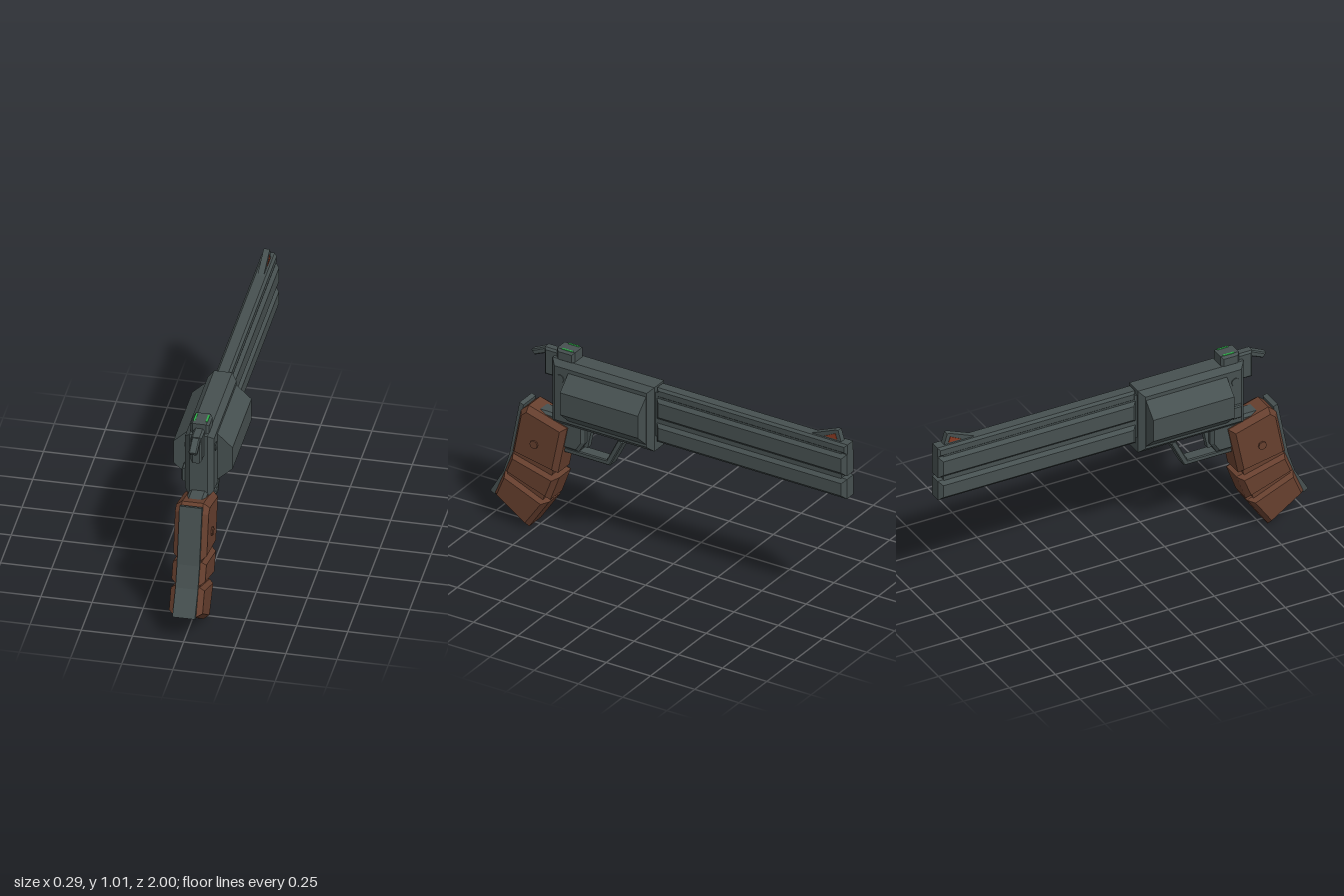
import * as THREE from 'three';

const paint = (name, color) => {
  const m = new THREE.MeshStandardMaterial({ color });
  m.name = name;
  return m;
};

export function createModel() {
  const group = new THREE.Group();
  const steel = paint('dark steel', 0x465050);
  const wood = paint('brown wood', 0x663f2e);
  const green = paint('sight green', 0x2fae4a);
  const red = paint('sight red', 0x8a3a22);

  const add = (name, geo, mat, x = 0, y = 0, z = 0) => {
    const mesh = new THREE.Mesh(geo, mat);
    mesh.name = name;
    mesh.position.set(x, y, z);
    group.add(mesh);
    return mesh;
  };

  // Side profile of [z, y] points, extruded across x to +-half, with chamfered edges
  const side = (name, points, half, mat, bevel = 0, bevelX = bevel, x = 0) => {
    const shape = new THREE.Shape(points.map(p => new THREE.Vector2(...p)));
    const geo = new THREE.ExtrudeGeometry(shape, {
      depth: 2 * (half - bevelX), bevelEnabled: bevel > 0, bevelSegments: 1,
      bevelSize: bevel, bevelOffset: -bevel, bevelThickness: bevelX,
    });
    geo.translate(0, 0, -(half - bevelX));
    geo.rotateY(-Math.PI / 2);
    return add(name, geo, mat, x);
  };
  const rect = (z0, z1, y0, y1) => [[z0, y0], [z1, y0], [z1, y1], [z0, y1]];

  // Flat-sided stud lying along x
  const stud = (name, r, half, y, z, mat) => {
    const geo = new THREE.CylinderGeometry(r, r, 2 * half, 8).toNonIndexed();
    geo.computeVertexNormals();
    geo.rotateZ(Math.PI / 2);
    add(name, geo, mat, 0, y, z);
  };

  // Barrel: two stacked bars, a top rib and the core joining them
  side('barrelUpper', rect(-1, 0.075, 0.785, 0.902), 0.05, steel, 0.02);
  side('barrelLower', rect(-1, 0.075, 0.66, 0.767), 0.05, steel, 0.02);
  side('barrelRib', rect(-1, 0.075, 0.9, 0.953), 0.037, steel, 0.012);
  side('barrelCore', rect(-0.97, 0.1, 0.69, 0.93), 0.033, steel);

  // Front sight and its coloured inserts
  side('frontSight', [[-0.77, 0.945], [-0.96, 0.945], [-0.94, 1.01], [-0.925, 1.008]], 0.015, steel);
  for (const s of [-1, 1]) {
    side('frontSightInsert', [[-0.865, 0.96], [-0.935, 0.96], [-0.925, 0.99]], 0.002, red, 0, 0, s * 0.0155);
  }

  // Frame and octagonal cylinder drum
  side('frame', rect(0.08, 0.655, 0.61, 0.958), 0.071, steel, 0.027);
  const drum = new THREE.Shape([
    [0.07, 0.65], [0.145, 0.72], [0.145, 0.84], [0.07, 0.912],
    [-0.07, 0.912], [-0.145, 0.84], [-0.145, 0.72], [-0.07, 0.65],
  ].map(p => new THREE.Vector2(...p)));
  add('drum', new THREE.ExtrudeGeometry(drum, { depth: 0.44, bevelEnabled: false }), steel, 0, 0, 0.11);
  stud('frameScrew', 0.022, 0.076, 0.87, 0.595, steel);
  side('latch', rect(0.565, 0.625, 0.67, 0.74), 0.015, steel, 0.006, 0.006, -0.075);

  // Rear sight with two bright strips
  side('rearSight', rect(0.535, 0.635, 0.945, 1.01), 0.046, steel, 0.012);
  for (const s of [-1, 1]) {
    add('rearSightStrip', new THREE.BoxGeometry(0.01, 0.006, 0.06), green, s * 0.03, 1.009, 0.58);
  }

  // Hammer
  side('hammerBase', rect(0.63, 0.715, 0.838, 0.985), 0.027, steel, 0.01);
  side('hammerSpur', [[0.66, 0.983], [0.66, 0.945], [0.715, 0.948], [0.775, 0.922], [0.793, 0.945], [0.72, 0.98]],
    0.021, steel, 0.006);

  // Lower frame, trigger and guard
  side('lowerFrame', [[0.75, 0.645], [0.5, 0.645], [0.48, 0.62], [0.48, 0.53], [0.515, 0.475], [0.66, 0.475]],
    0.046, steel, 0.015);
  side('trigger', [[0.49, 0.62], [0.45, 0.62], [0.475, 0.5], [0.5, 0.5]], 0.015, steel);
  side('triggerGuard', [
    [0.6, 0.477], [0.6, 0.45], [0.34, 0.45], [0.267, 0.592],
    [0.278, 0.607], [0.296, 0.6], [0.358, 0.477],
  ], 0.033, steel, 0.005);

  // Grip: three chamfered blocks around a core
  const grips = [
    [[0.828, 0.625], [0.785, 0.66], [0.567, 0.597], [0.62, 0.338], [0.875, 0.386]],
    [[0.872, 0.385], [0.612, 0.315], [0.663, 0.18], [0.918, 0.268]],
    [[0.917, 0.27], [0.67, 0.165], [0.782, 0], [0.975, 0.13]],
  ];
  for (const points of grips) side('gripBlock', points, 0.082, wood, 0.022, 0.03);
  side('gripCore', [[0.8, 0.62], [0.6, 0.58], [0.645, 0.33], [0.7, 0.17], [0.78, 0.05], [0.95, 0.14], [0.9, 0.26], [0.865, 0.38]],
    0.06, wood);
  stud('gripScrew', 0.022, 0.09, 0.475, 0.735, wood);

  // Strap along the back of the grip
  side('backStrap', [
    [0.835, 0.663], [0.892, 0.368], [0.928, 0.258], [1, 0.135], [0.975, 0.12],
    [0.902, 0.252], [0.865, 0.362], [0.812, 0.655],
  ], 0.055, steel);

  return group;
}
